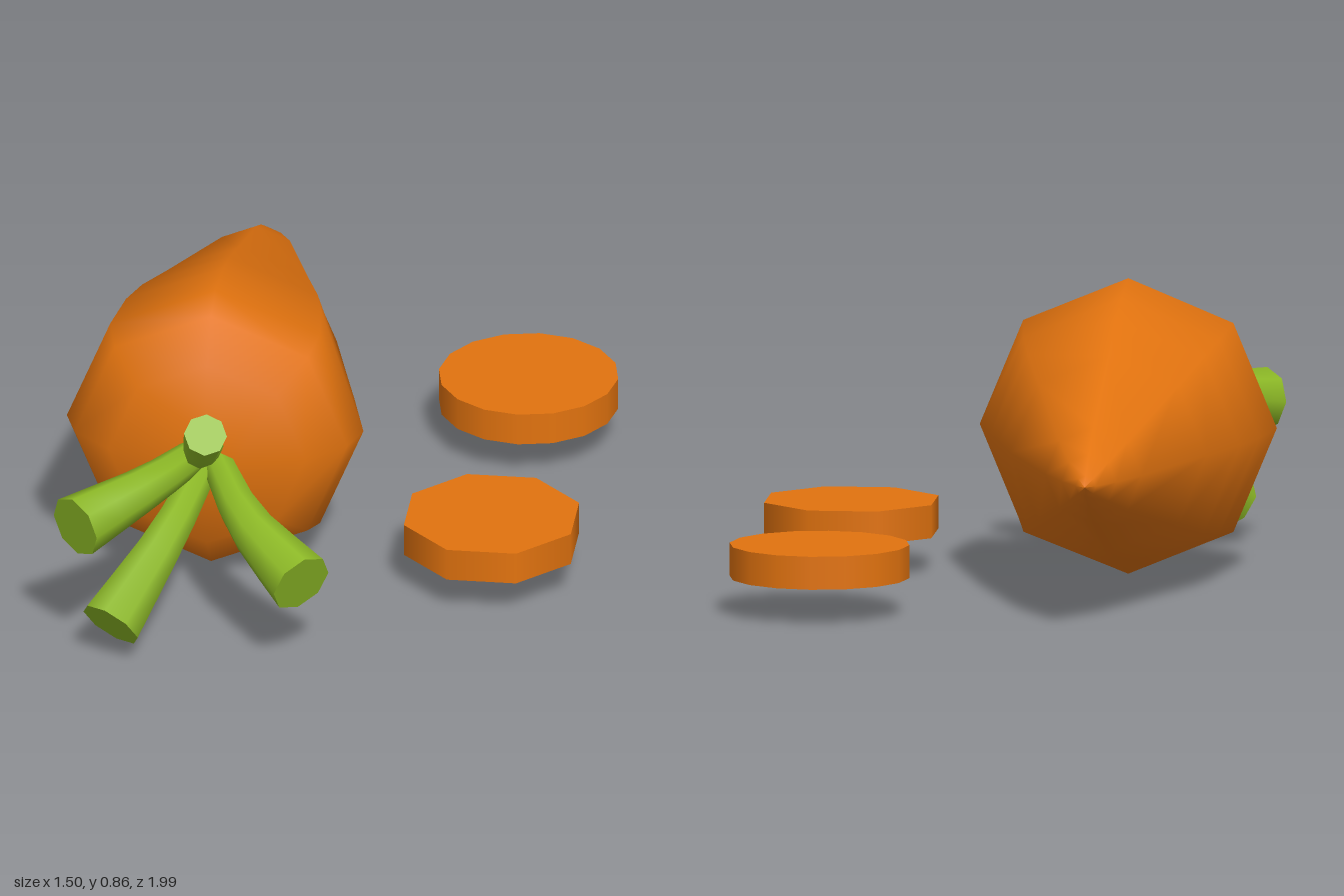
import * as THREE from 'three';

const orange = new THREE.MeshStandardMaterial({ name: 'carrotOrange', color: 0xe2730f });
const green = new THREE.MeshStandardMaterial({ name: 'stalkGreen', color: 0x8cb826 });

const V = (x, y, z) => new THREE.Vector3(x, y, z);

function add(group, name, geometry, material) {
  const mesh = new THREE.Mesh(geometry, material);
  mesh.name = name;
  group.add(mesh);
  return mesh;
}

// Eight-sided root: radius and z along its length, from the tip to the crown
function rootGeometry() {
  const profile = [
    [0, -1], [0.03, -0.97], [0.08, -0.88], [0.14, -0.75], [0.285, -0.33],
    [0.36, -0.12], [0.4, 0.03], [0.43, 0.23], [0.395, 0.33],
    [0.285, 0.43], [0.09, 0.475], [0, 0.475],
  ].map(([r, z]) => new THREE.Vector2(r, z));
  const g = new THREE.LatheGeometry(profile, 8);
  g.rotateX(Math.PI / 2);
  // slight hollow along the underside and the left flank
  const p = g.attributes.position;
  for (let i = 0; i < p.count; i++) {
    const z = p.getZ(i);
    if (z > -0.2 && z < 0.1) {
      if (p.getY(i) < -0.3) p.setY(i, p.getY(i) + 0.03);
      if (p.getX(i) > 0.3) p.setX(i, p.getX(i) - 0.02);
    }
  }
  return g;
}

// Bent stalk that widens from base to tip, through three points with a radius each
function stalkGeometry(points, radii, sides = 8, rings = 5) {
  const curve = new THREE.CatmullRomCurve3(points);
  const g = new THREE.TubeGeometry(curve, rings, 1, sides);
  const p = g.attributes.position, n = g.attributes.normal;
  for (let i = 0; i < p.count; i++) {
    const t = Math.floor(i / (sides + 1)) / rings;
    const r = t < 0.5
      ? THREE.MathUtils.lerp(radii[0], radii[1], t * 2)
      : THREE.MathUtils.lerp(radii[1], radii[2], t * 2 - 1);
    const c = curve.getPointAt(t);
    p.setXYZ(i, c.x + n.getX(i) * r, c.y + n.getY(i) * r, c.z + n.getZ(i) * r);
  }
  return g;
}

// Flat cut that closes the last ring of a stalk
function cutGeometry(stalk, centre, sides = 8) {
  const p = stalk.attributes.position;
  const start = p.count - sides - 1;
  const ring = (j) => V(0, 0, 0).fromBufferAttribute(p, start + j);
  const corners = [];
  for (let j = 0; j < sides; j++) corners.push(centre, ring(j + 1), ring(j));
  const g = new THREE.BufferGeometry().setFromPoints(corners);
  g.computeVertexNormals();
  return g;
}

export function createModel() {
  const model = new THREE.Group();
  model.name = 'carrotWithSlices';

  add(model, 'root', rootGeometry(), orange).position.set(-0.32, 0.435, 0);

  // Stalks: base, knee and tip
  const stalks = [
    ['upperStalk', [V(-0.31, 0.47, 0.42), V(-0.31, 0.56, 0.66), V(-0.28, 0.685, 0.795)], [0.045, 0.046, 0.062]],
    ['rightStalk', [V(-0.33, 0.45, 0.42), V(-0.45, 0.46, 0.68), V(-0.645, 0.42, 0.9)], [0.045, 0.06, 0.093]],
    ['lowerStalk', [V(-0.32, 0.42, 0.42), V(-0.4, 0.31, 0.7), V(-0.54, 0.12, 0.92)], [0.045, 0.06, 0.093]],
    ['leftStalk', [V(-0.3, 0.43, 0.42), V(-0.17, 0.36, 0.7), V(0.01, 0.277, 0.9)], [0.045, 0.062, 0.095]],
  ];
  for (const [name, points, radii] of stalks) {
    const stalk = new THREE.Group();
    stalk.name = name;
    const side = stalkGeometry(points, radii);
    add(stalk, name + 'Side', side, green);
    add(stalk, name + 'Cut', cutGeometry(side, points[2]), green);
    model.add(stalk);
  }

  // Cut slices lying beside the root
  const round = new THREE.CylinderGeometry(0.26, 0.26, 0.096, 16);
  add(model, 'roundSlice', round, orange).position.set(0.485, 0.158, -0.633);
  const octagon = new THREE.CylinderGeometry(0.262, 0.262, 0.096, 8);
  octagon.rotateY(Math.PI / 8);
  add(model, 'octagonSlice', octagon, orange).position.set(0.485, 0.158, 0.26);

  return model;
}
